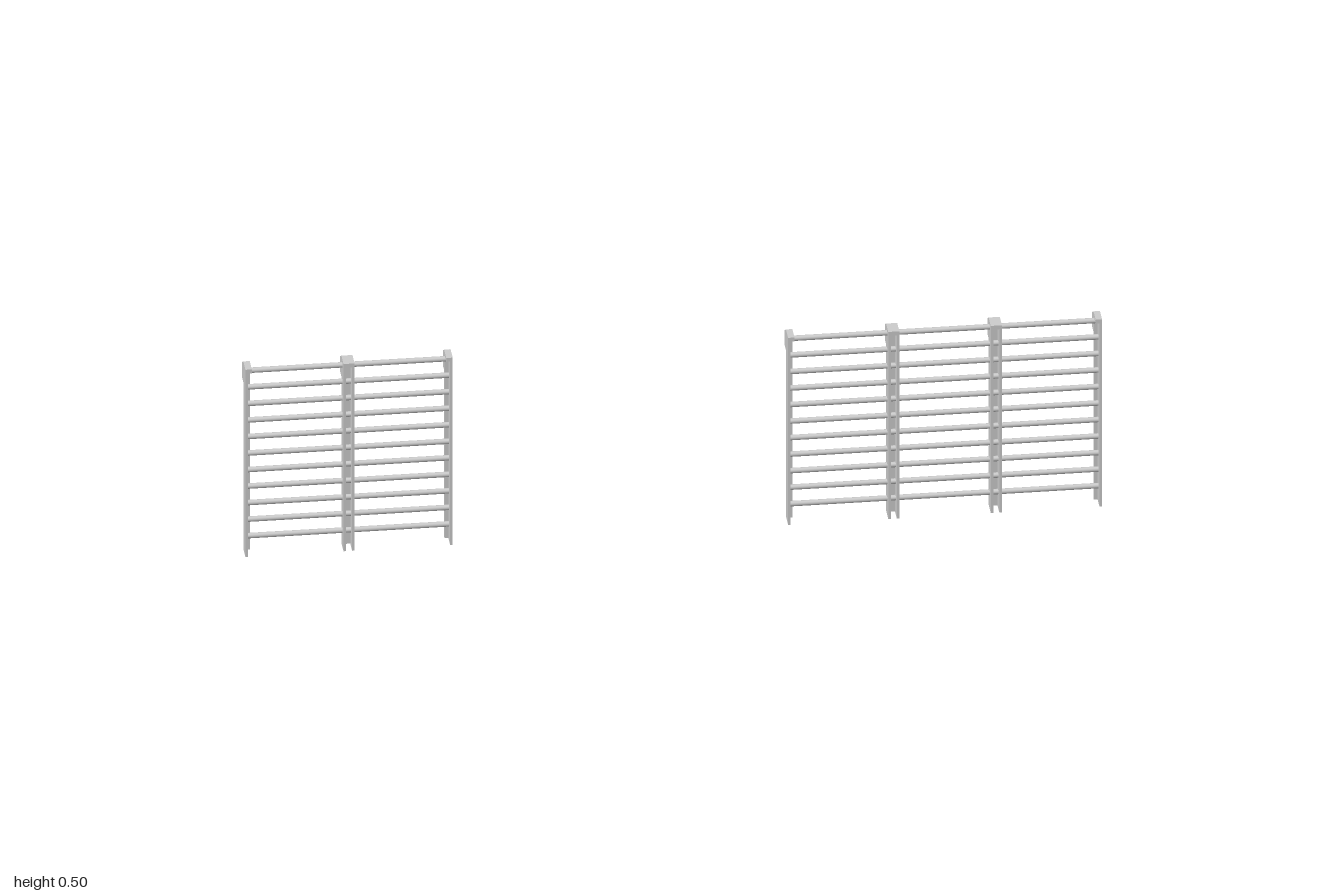
import * as THREE from 'three';

const HEIGHT = 0.495, FRONT = 0.034, BACK = -0.007, HOOK = -0.033;
const LEG = 0.006, CAP = 0.01, PLATE = 0.006;
const END_W = 0.015, MID_W = 0.026, RUNGS = 11;
const material = new THREE.MeshStandardMaterial({ color: 0xcccccc });

function box(name, w, h, d, x, y, z) {
  const mesh = new THREE.Mesh(new THREE.BoxGeometry(w, h, d), material);
  mesh.name = name;
  mesh.position.set(x, y, z);
  return mesh;
}

// Bevelled head block at the top rear of a post, extruded across its width
function headBlock(width, x) {
  const shape = new THREE.Shape([
    [-BACK, 0.44], [-HOOK, 0.44], [-HOOK, 0.479], [-BACK, HEIGHT],
  ].map(([z, y]) => new THREE.Vector2(z, y)));
  const geometry = new THREE.ExtrudeGeometry(shape, { depth: width, bevelEnabled: false });
  geometry.rotateY(Math.PI / 2); // shape x becomes -z, depth becomes +x
  geometry.translate(x - width / 2, 0, 0);
  const mesh = new THREE.Mesh(geometry, material);
  mesh.name = 'headBlock';
  return mesh;
}

// Upright: back plate, side plates (legSides lists -1 and/or 1), cap and head
function upright(x, width, legSides) {
  const group = new THREE.Group();
  group.name = 'upright';
  const plateFront = BACK + PLATE;
  const depth = FRONT - plateFront, midZ = (FRONT + plateFront) / 2;
  group.add(box('backPlate', width, HEIGHT, PLATE, x, HEIGHT / 2, BACK + PLATE / 2));
  for (const side of legSides) {
    group.add(box('sidePlate', LEG, HEIGHT - CAP, depth,
      x + side * (width - LEG) / 2, (HEIGHT - CAP) / 2, midZ));
  }
  group.add(box('cap', width, CAP, depth, x, HEIGHT - CAP / 2, midZ));
  group.add(headBlock(width, x));
  return group;
}

// One rack with several bays between x0 and x1
function rack(name, x0, x1, bays) {
  const group = new THREE.Group();
  group.name = name;
  const first = x0 + END_W / 2, last = x1 - END_W / 2;
  for (let i = 0; i <= bays; i++) {
    const x = first + (last - first) * i / bays;
    if (i === 0) group.add(upright(x, END_W, [-1]));
    else if (i === bays) group.add(upright(x, END_W, [1]));
    else group.add(upright(x, MID_W, [-1, 1]));
  }
  // Horizontal rungs, evenly spaced
  const length = x1 - x0 - LEG;
  const rungGeometry = new THREE.CylinderGeometry(0.0065, 0.0065, length, 16);
  rungGeometry.rotateZ(Math.PI / 2);
  for (let i = 0; i < RUNGS; i++) {
    const rung = new THREE.Mesh(rungGeometry, material);
    rung.name = 'rung';
    rung.position.set((x0 + x1) / 2, 0.043 + i * 0.0437, 0.01);
    group.add(rung);
  }
  return group;
}

export function createModel() {
  const model = new THREE.Group();
  model.name = 'wallBars';
  model.add(rack('doubleRack', -1, -0.516, 2));
  model.add(rack('tripleRack', 0.267, 1, 3));
  return model;
}
